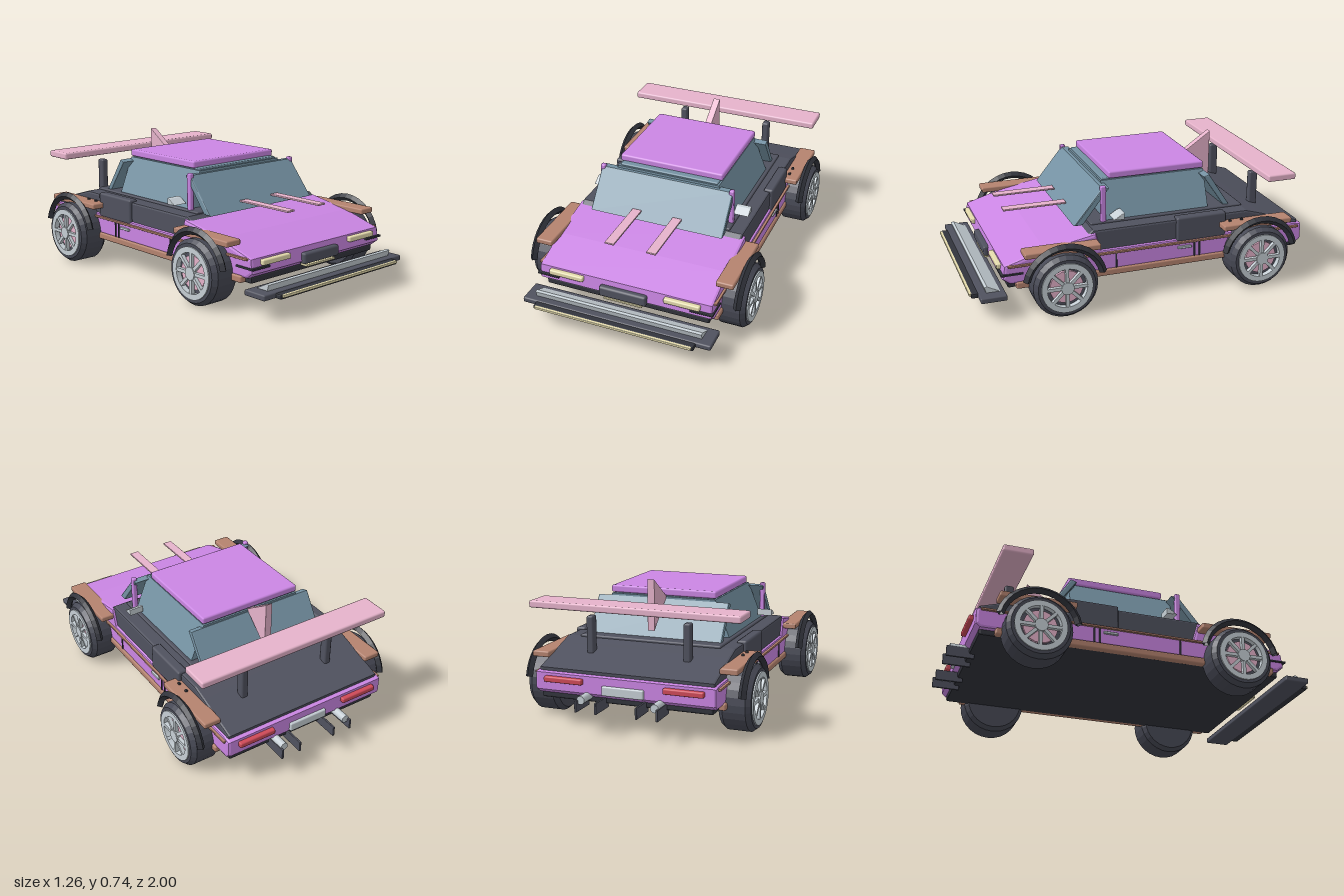
import * as THREE from 'three';
import { RoundedBoxGeometry } from 'three/addons/geometries/RoundedBoxGeometry.js';

const mat = (color, flatShading = false) =>
  new THREE.MeshStandardMaterial({ color, flatShading, side: THREE.DoubleSide });
const M = {
  paint: mat(0xcb86e4), dark: mat(0x50525f), black: mat(0x32343c, true), glass: mat(0x7592a3),
  pink: mat(0xe6b3cb), brown: mat(0xb5836f), cream: mat(0xe6dcae), red: mat(0xcf4a58),
  silver: mat(0xc6cfd5), tyre: mat(0x474955, true),
};

export function createModel() {
  const root = new THREE.Group();

  const add = (name, geometry, material, parent = root) => {
    const mesh = new THREE.Mesh(geometry, material);
    mesh.name = name;
    parent.add(mesh);
    return mesh;
  };
  // Softly rounded block given by its extents along each axis
  const block = (name, material, [x0, x1], [y0, y1], [z0, z1], parent = root) => {
    const w = x1 - x0, h = y1 - y0, d = z1 - z0;
    const mesh = add(name, new RoundedBoxGeometry(w, h, d, 1, Math.min(0.012, 0.25 * Math.min(w, h, d))), material, parent);
    mesh.position.set((x0 + x1) / 2, (y0 + y1) / 2, (z0 + z1) / 2);
    return mesh;
  };
  // The same block on both flanks
  const pair = (name, material, [x0, x1], y, z) => {
    block(name + 'Left', material, [x0, x1], y, z);
    block(name + 'Right', material, [-x1, -x0], y, z);
  };
  // Side profile of [z, y] points, extruded across the width
  const profile = (name, material, points, width, bevel = 0) => {
    const shape = new THREE.Shape(points.map(([z, y]) => new THREE.Vector2(z, y)));
    const geometry = new THREE.ExtrudeGeometry(shape, {
      depth: width - 2 * bevel, bevelEnabled: bevel > 0, bevelSize: bevel,
      bevelThickness: bevel, bevelOffset: -bevel, bevelSegments: 2,
    });
    geometry.translate(0, 0, bevel - width / 2).rotateY(-Math.PI / 2);
    return add(name, geometry, material);
  };

  // Lower shell, hood and rear deck
  profile('lowerBody', M.paint, [[-0.88, 0.18], [0.79, 0.18], [0.83, 0.21], [0.82, 0.285], [0.6, 0.35],
    [0.32, 0.4], [0.29, 0.3], [-0.86, 0.3], [-0.905, 0.29], [-0.905, 0.2]], 0.99, 0.015);
  profile('upperBody', M.dark, [[-0.88, 0.27], [0.33, 0.27], [0.36, 0.39], [0.33, 0.412], [-0.56, 0.412],
    [-0.65, 0.385], [-0.885, 0.312]], 0.96, 0.012);
  block('engineCover', M.dark, [-0.4, 0.4], [0.39, 0.422], [-0.57, 0.32]);
  block('floor', M.black, [-0.47, 0.47], [0.15, 0.19], [-0.88, 0.8]);
  pair('sill', M.brown, [0.46, 0.505], [0.152, 0.19], [-0.8, 0.76]);
  pair('beltTrim', M.brown, [0.47, 0.508], [0.276, 0.288], [-0.88, 0.8]);
  pair('sidePod', M.dark, [0.44, 0.497], [0.285, 0.425], [-0.43, -0.14]);
  for (const z of [0.21, -0.245, -0.275]) pair('doorSeam', M.black, [0.48, 0.5], [0.19, 0.275], [z - 0.005, z + 0.005]);
  pair('doorHandle', M.silver, [0.485, 0.507], [0.246, 0.26], [-0.225, -0.145]);

  // Cabin: side glass tapers inward, screens are wider slabs
  const cabin = new THREE.BoxGeometry(0.77, 0.21, 0.6);
  const p = cabin.attributes.position;
  for (let i = 0; i < p.count; i++) if (p.getY(i) > 0) p.setX(i, Math.sign(p.getX(i)) * 0.3);
  cabin.translate(0, 0.515, -0.07).computeVertexNormals();
  add('sideGlass', cabin, M.glass);
  profile('windshield', M.glass, [[0.41, 0.412], [0.25, 0.608], [0.21, 0.605], [0.36, 0.412]], 0.78, 0.008);
  profile('rearScreen', M.glass, [[-0.505, 0.412], [-0.47, 0.412], [-0.34, 0.6], [-0.375, 0.61]], 0.76, 0.008);
  block('roof', M.paint, [-0.305, 0.305], [0.625, 0.665], [-0.37, 0.185]);
  block('roofFrame', M.glass, [-0.29, 0.29], [0.605, 0.63], [-0.36, 0.22]);
  pair('windshieldPillar', M.paint, [0.368, 0.396], [0.41, 0.62], [0.23, 0.26]);
  for (const s of [-1, 1]) {
    // Wedge mirror
    const mirror = profile('mirror', M.silver, [[0.15, 0.445], [0.15, 0.482], [0.168, 0.478], [0.21, 0.45]], 0.085, 0.004);
    mirror.position.x = s * 0.423;
  }

  // Roof fin, hood strips and rear wing
  profile('roofFin', M.pink, [[-0.36, 0.62], [-0.535, 0.74], [-0.535, 0.465]], 0.04, 0.003);
  pair('hoodStrip', M.pink, [0.092, 0.146], [0.45, 0.46], [0.38, 0.735]);
  block('rearWing', M.pink, [-0.58, 0.58], [0.598, 0.636], [-0.8, -0.635]);
  pair('wingStrut', M.dark, [0.25, 0.29], [0.35, 0.56], [-0.72, -0.67]);

  // Front end
  block('splitter', M.dark, [-0.535, 0.535], [0.112, 0.143], [0.815, 0.955]);
  block('splitterLip', M.black, [-0.455, 0.455], [0.112, 0.138], [0.94, 0.99]);
  block('splitterStrip', M.cream, [-0.445, 0.445], [0.122, 0.137], [0.97, 1.0]);
  profile('bumperBar', M.silver, [[0.84, 0.143], [0.915, 0.143], [0.925, 0.176], [0.91, 0.18]], 0.95, 0.004);
  pair('headlight', M.cream, [0.23, 0.43], [0.246, 0.276], [0.8, 0.845]);
  pair('lightTrim', M.black, [0.375, 0.502], [0.231, 0.242], [0.72, 0.84]);
  block('grille', M.dark, [-0.135, 0.135], [0.195, 0.255], [0.8, 0.852]);
  block('grilleStrip', M.cream, [-0.11, 0.11], [0.178, 0.19], [0.8, 0.845]);

  // Rear end
  pair('tailLight', M.red, [0.22, 0.435], [0.245, 0.275], [-0.93, -0.89]);
  block('rearPlate', M.silver, [-0.115, 0.115], [0.2, 0.25], [-0.92, -0.89]);
  for (const x of [0.11, 0.22]) pair('diffuserFin', M.dark, [x - 0.006, x + 0.006], [0.125, 0.185], [-1, -0.85]);
  for (const s of [-1, 1]) {
    const pipe = add('exhaust', new THREE.CylinderGeometry(0.022, 0.022, 0.11, 12).rotateX(Math.PI / 2), M.silver);
    pipe.position.set(s * 0.2, 0.185, -0.925);
  }

  // Wheels, arches and fender flares; each wheel faces +x and is turned for the other side
  const tyreProfile = [[0.13, 0.085], [0.155, 0.085], [0.175, 0.06], [0.175, -0.06], [0.155, -0.085], [0.02, -0.085]]
    .map(([r, y]) => new THREE.Vector2(r, -y));
  const makeWheel = () => {
    const wheel = new THREE.Group();
    wheel.name = 'wheel';
    add('tyre', new THREE.LatheGeometry(tyreProfile, 28).rotateZ(Math.PI / 2), M.tyre, wheel);
    add('wheelBack', new THREE.CylinderGeometry(0.135, 0.135, 0.12, 28).rotateZ(Math.PI / 2), M.dark, wheel);
    const disc = add('brakeDisc', new THREE.CylinderGeometry(0.09, 0.09, 0.02, 24).rotateZ(Math.PI / 2), M.pink, wheel);
    disc.position.x = 0.062;
    const ring = new THREE.Shape().absarc(0, 0, 0.138, 0, Math.PI * 2);
    ring.holes.push(new THREE.Path().absarc(0, 0, 0.108, 0, Math.PI * 2));
    const rim = add('rim', new THREE.ExtrudeGeometry(ring, { depth: 0.03, bevelEnabled: false, curveSegments: 28 }).rotateY(Math.PI / 2), M.silver, wheel);
    rim.position.x = 0.062;
    for (let i = 0; i < 8; i++) {
      const spoke = add('spoke', new THREE.BoxGeometry(0.022, 0.09, 0.018).translate(0.08, 0.07, 0), M.silver, wheel);
      spoke.rotation.x = i * Math.PI / 4;
    }
    const hub = add('hub', new THREE.CylinderGeometry(0.03, 0.035, 0.04, 16).rotateZ(Math.PI / 2), M.silver, wheel);
    hub.position.x = 0.077;
    return wheel;
  };
  const sweep = Math.PI * 0.86;
  for (const z of [0.52, -0.595]) {
    for (const s of [-1, 1]) {
      const wheel = makeWheel();
      wheel.position.set(s * 0.535, 0.176, z);
      if (s < 0) wheel.rotation.y = Math.PI;
      root.add(wheel);
      const arch = new THREE.TorusGeometry(0.21, 0.021, 4, 14, sweep);
      arch.rotateZ((Math.PI - sweep) / 2).rotateY(Math.PI / 2);
      add('wheelArch', arch, M.black).position.set(s * 0.59, 0.18, z);
    }
    pair('fenderFlare', M.brown, [0.47, 0.567], [0.338, 0.37], [z - 0.205, z + 0.205]);
  }
  for (const z of [-0.45, -0.52]) pair('flareBolt', M.black, [0.498, 0.512], [0.365, 0.38], [z - 0.008, z + 0.008]);

  return root;
}
